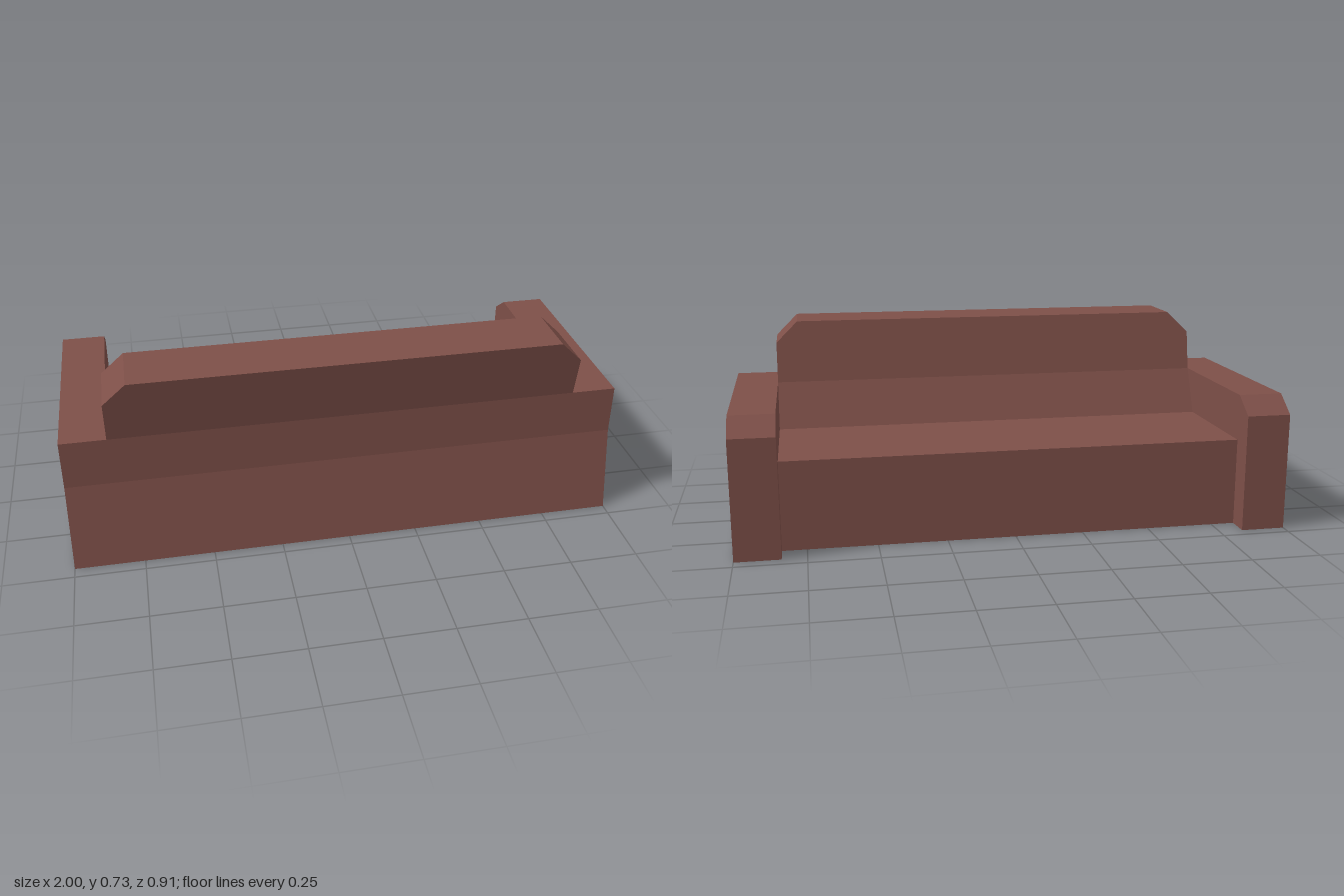
import * as THREE from 'three';

export function createModel() {
  const sofa = new THREE.Group();
  sofa.name = 'sofa';
  const fabric = new THREE.MeshStandardMaterial({ color: 0x7d4f48 });
  fabric.name = 'brownUpholstery';

  function addPart(name, geometry) {
    const mesh = new THREE.Mesh(geometry, fabric);
    mesh.name = name;
    sofa.add(mesh);
  }

  function prism(points, depth) {
    const shape = new THREE.Shape(points.map(([x, y]) => new THREE.Vector2(x, y)));
    return new THREE.ExtrudeGeometry(shape, { depth, bevelEnabled: false });
  }

  // Side profile of [z, y] points, extruded from x0 to x1
  function sidePrism(profile, x0, x1) {
    return prism(profile.map(([z, y]) => [-z, y]), x1 - x0)
      .rotateY(Math.PI / 2)
      .translate(x0, 0, 0);
  }

  const inner = 0.838; // inside face of the arms
  const armTop = 0.495;
  const seatTop = 0.325;

  // Arms: chamfered at the sitting side, flared at the foot of the rear
  const armProfile = [
    [0.455, 0], [0.4, 0.315], [0.4, armTop],
    [-0.37, armTop], [-0.455, 0.433], [-0.455, 0],
  ];
  addPart('leftArm', sidePrism(armProfile, inner, 1));
  addPart('rightArm', sidePrism(armProfile, -1, -inner));

  // Seat block between the arms
  addPart('seat', sidePrism(
    [[0.1, 0], [0.1, seatTop], [-0.37, seatTop], [-0.37, 0]], -inner, inner));

  // Lower backrest with a sloping lumbar face
  addPart('lowerBackrest', sidePrism(
    [[0.455, 0], [0.4, 0.315], [0.4, armTop], [0.177, armTop], [0.1, seatTop], [0.1, 0]],
    -inner, inner));

  // Upper backrest: chamfered corners, leaning away from the seat
  const upper = prism([
    [-inner, armTop], [inner, armTop], [inner, 0.646],
    [0.756, 0.726], [-0.756, 0.726], [-inner, 0.646],
  ], 0.223);
  const pos = upper.attributes.position;
  for (let i = 0; i < pos.count; i++) {
    pos.setZ(i, pos.getZ(i) + 0.177 + (pos.getY(i) - armTop) * 0.19);
  }
  upper.computeVertexNormals();
  addPart('upperBackrest', upper);

  return sofa;
}
